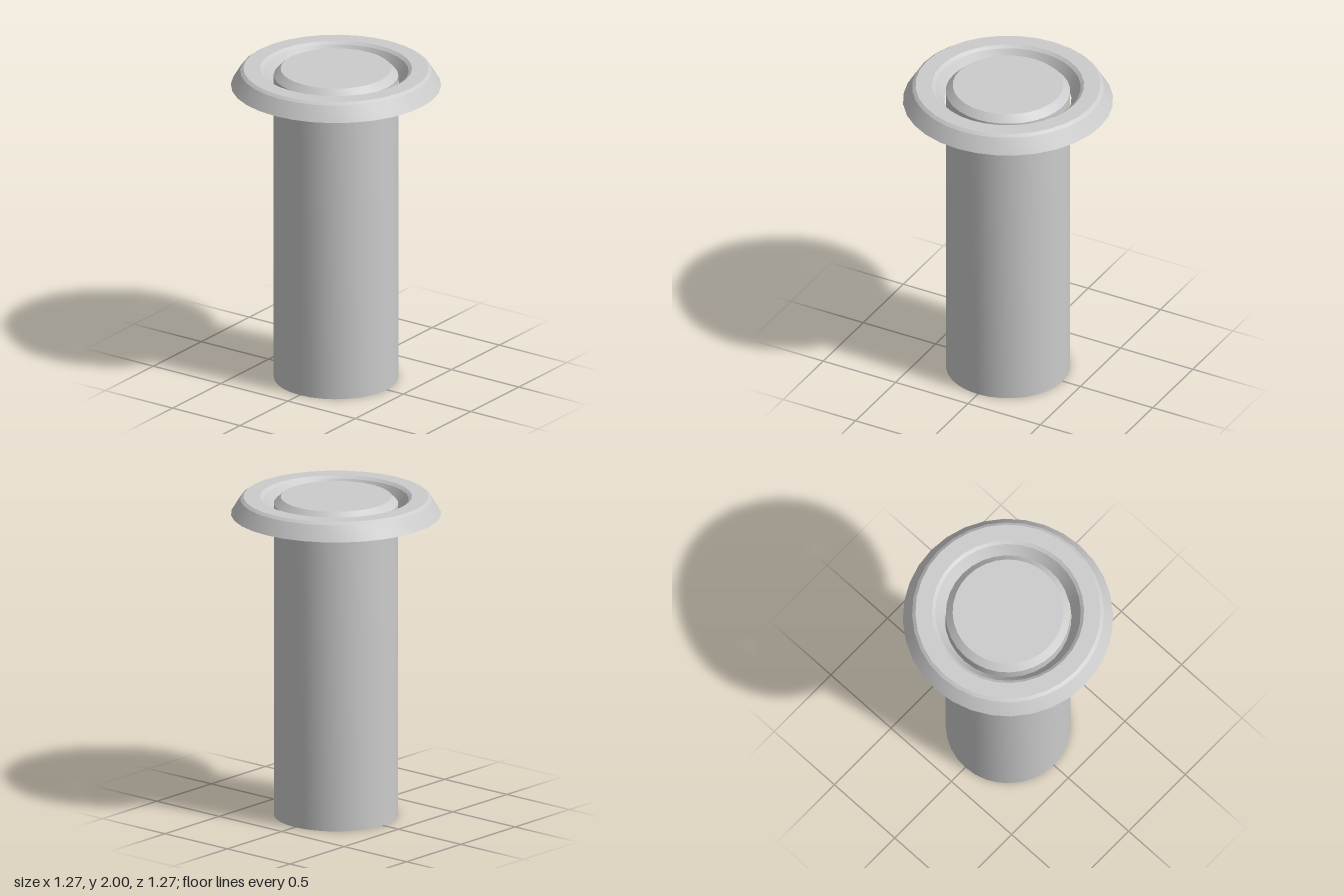
import * as THREE from 'three';
import { toCreasedNormals } from 'three/addons/utils/BufferGeometryUtils.js';

const SIDES = 32;

// Revolves a thin shell around y: smooth around, crisp along the profile
function turned(name, profile) {
  const points = profile.map(([r, y]) => new THREE.Vector2(r, y));
  const geometry = toCreasedNormals(new THREE.LatheGeometry(points, SIDES), 0.35);
  const material = new THREE.MeshStandardMaterial({ color: 0xcccccc, side: THREE.DoubleSide });
  const mesh = new THREE.Mesh(geometry, material);
  mesh.name = name;
  return mesh;
}

export function createModel() {
  const model = new THREE.Group();
  model.name = 'recessedPost';

  // Hollow post, open at the bottom, with a chamfered closed top
  model.add(turned('post', [
    [0.377, 0], [0.377, 1.958], [0.335, 2], [0, 2],
  ]));

  // Loose collar: sloped outer skirt, chamfered flat rim, inner funnel
  model.add(turned('collar', [
    [0.636, 1.893], [0.58, 1.985], [0.56, 2],
    [0.46, 2], [0.44, 1.985], [0.384, 1.893],
  ]));

  return model;
}
